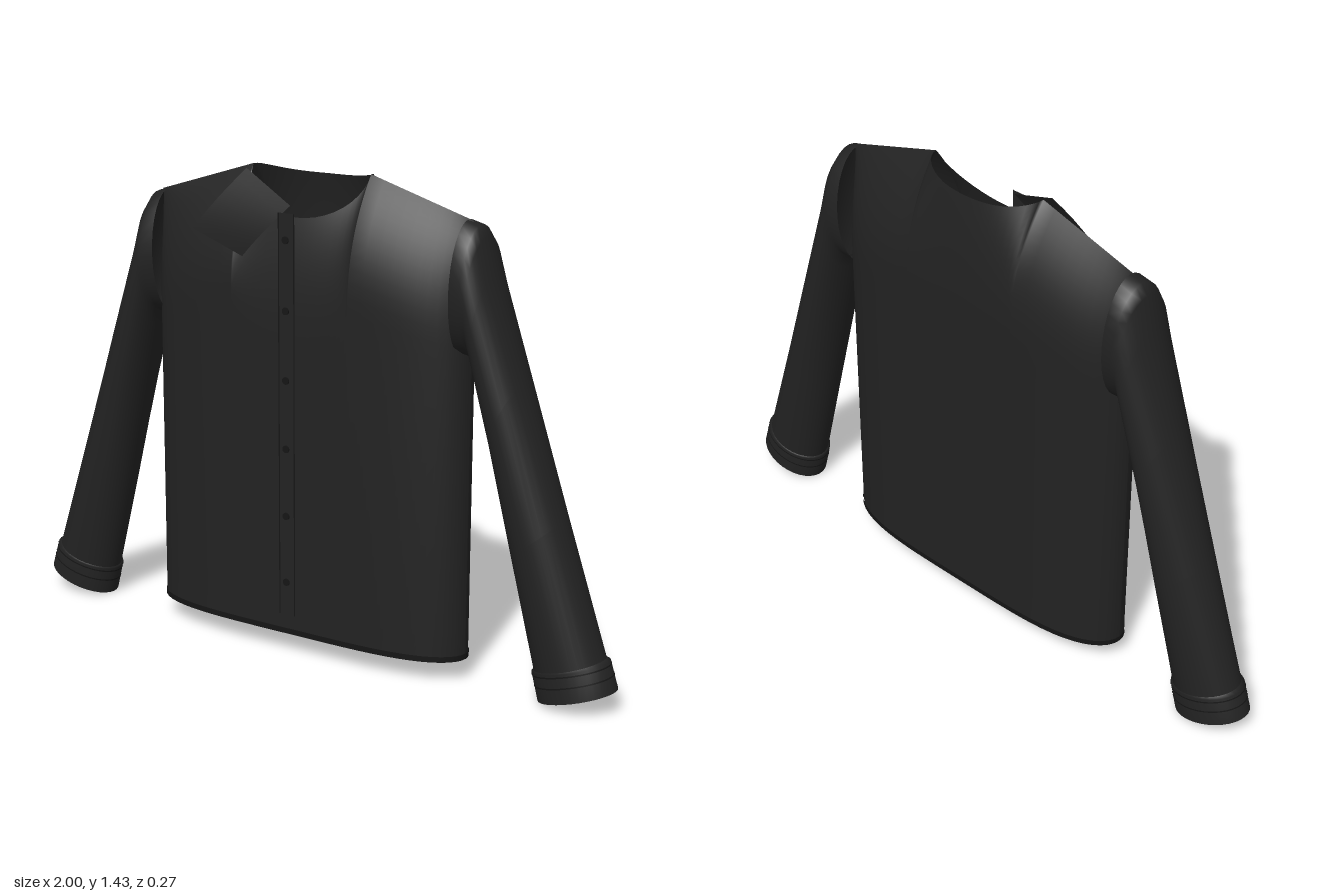
import * as THREE from 'three';

const fabric = new THREE.MeshStandardMaterial({ name: 'black fabric', color: 0x222222, side: THREE.DoubleSide });
const thread = new THREE.MeshStandardMaterial({ name: 'dark thread', color: 0x151515, side: THREE.DoubleSide });

const HALF = 0.53, NECK = 0.2, HEM = 0.07;

// Smooth surface from a rule point(i, j) -> [x, y, z]; wrap closes it around j
function surface(rows, cols, point, wrap = false) {
  const pos = [], index = [], n = wrap ? cols : cols + 1;
  for (let i = 0; i <= rows; i++) for (let j = 0; j < n; j++) pos.push(...point(i, j));
  for (let i = 0; i < rows; i++) for (let j = 0; j < cols; j++) {
    const a = i * n + j, b = i * n + (j + 1) % n;
    index.push(a, a + n, b, b, a + n, b + n);
  }
  const g = new THREE.BufferGeometry();
  g.setAttribute('position', new THREE.Float32BufferAttribute(pos, 3));
  g.setIndex(index);
  g.computeVertexNormals();
  return g;
}

function add(parent, name, geometry, material = fabric) {
  const mesh = new THREE.Mesh(geometry, material);
  mesh.name = name;
  parent.add(mesh);
  return mesh;
}

// Top edge of a panel: neckline in the middle, sloping shoulder outside
function topY(x, side) {
  const a = Math.abs(x), k = Math.min(1, a / NECK);
  if (a >= NECK) return 1.43 - 0.1 * (a - NECK) / (HALF - NECK);
  return side > 0 ? 1.43 - 0.13 * Math.sqrt(1 - k * k) : 1.405 + 0.025 * k ** 3;
}

// Depth of a panel: thin at the shoulder ridge, full at the chest, closed at the sides
function panelZ(x, y, side) {
  const k = Math.min(1, Math.abs(x) / NECK);
  const top = (side > 0 ? 0.075 : 0.095) * Math.sqrt(1 - k * k);
  const full = side > 0 ? 0.12 : 0.128;
  const u = Math.min(1, Math.max(0, (topY(x, side) - y) / 0.35));
  const s = 1 - (1 - u) ** 2.2;
  const edge = Math.sqrt(Math.max(0, 1 - Math.abs(x / HALF) ** 4));
  return side * (top + (full - top) * s) * edge;
}

// Columns crowd towards the neck corners and the side seams
const COLS = 44;
function columnX(j) {
  const k = Math.abs(j - COLS / 2), sign = Math.sign(j - COLS / 2);
  const x = k <= 10 ? NECK * Math.sin(k / 10 * Math.PI / 2)
    : NECK + (HALF - NECK) * Math.sin((k - 10) / 12 * Math.PI / 2);
  return sign * x;
}

// Sleeve sections: distance along, outer x, outer y, inner x, inner y, half depth
const sections = [
  [0.51, 1.333, 0.50, 0.95, 0.10],
  [0.55, 1.322, 0.53, 0.955, 0.106],
  [0.57, 1.29, 0.545, 0.955, 0.106],
  [0.60, 1.19, 0.557, 0.91, 0.104],
  [0.70, 0.905, 0.61, 0.70, 0.098],
  [0.83, 0.53, 0.68, 0.40, 0.091],
  [0.968, 0.135, 0.757, 0.08, 0.083],
];
const cuffSections = [
  [0.960, 0.155, 0.755, 0.09, 0.081],
  [0.974, 0.15, 0.748, 0.085, 0.087],
  [1.0, 0.07, 0.77, 0.0, 0.087],
];
function loops(list) {
  return surface(list.length - 1, 32, (i, j) => {
    const [ox, oy, ix, iy, d] = list[i], a = j / 32 * Math.PI * 2;
    const c = (1 + Math.cos(a)) / 2;
    return [ix + (ox - ix) * c, iy + (oy - iy) * c, -0.006 - d * Math.sin(a)];
  }, true);
}
// Thin seam band around the cuff at a fraction t of its length
function cuffBand(t) {
  const [, a, b] = cuffSections;
  const at = (k) => a.map((v, n) => v + (b[n] - v) * k + [0.001, 0, -0.001, 0, 0.0015][n]);
  return loops([at(t), at(t + 0.05)]);
}

export function createModel() {
  const shirt = new THREE.Group();
  shirt.name = 'shirt';

  // Body panels and hem
  for (const side of [1, -1]) {
    const label = side > 0 ? 'front' : 'back';
    add(shirt, label + 'Panel', surface(30, COLS, (i, j) => {
      const x = side * columnX(j), top = topY(x, side);
      const y = top - (i / 30) ** 1.7 * (top - HEM);
      return [x, y, panelZ(x, y, side)];
    }));
    add(shirt, label + 'Hem', surface(1, COLS, (i, j) => {
      const x = side * columnX(j), y = 0.08 - i * 0.017;
      return [x * 1.004, y, panelZ(x, y, side) * 1.02];
    }), thread);
  }

  // Sleeves with cuffs; the right one swaps x and turns its faces round
  for (const sign of [1, -1]) {
    const sleeve = new THREE.Group();
    sleeve.name = sign > 0 ? 'leftSleeve' : 'rightSleeve';
    add(sleeve, 'arm', loops(sections));
    add(sleeve, 'cuff', loops(cuffSections));
    add(sleeve, 'cuffSeam', cuffBand(0.08), thread);
    add(sleeve, 'cuffSeam', cuffBand(0.45), thread);
    sleeve.scale.x = sign;
    shirt.add(sleeve);
  }

  // Flat placket with stitched edges
  const placket = add(shirt, 'placket', new THREE.PlaneGeometry(0.052, 1.195));
  placket.position.set(0, 0.722, 0.127);
  for (const x of [-0.026, 0.026]) {
    add(shirt, 'placketSeam', new THREE.PlaneGeometry(0.004, 1.195), thread).position.set(x, 0.722, 0.128);
  }

  // Buttons
  for (let i = 0; i < 6; i++) {
    const button = add(shirt, 'button', new THREE.CylinderGeometry(0.011, 0.011, 0.004, 16), thread);
    button.rotation.x = Math.PI / 2;
    button.position.set(0.003, 0.23 + i * 0.203, 0.137);
  }

  // Single collar flap on the right side of the neck
  const corners = [[-0.2, 1.42, 0.035], [-0.35, 1.24, 0.098], [-0.01, 1.335, 0.092], [-0.16, 1.18, 0.117]];
  add(shirt, 'collarFlap', surface(6, 6, (i, j) => {
    const u = i / 6, v = j / 6;
    return [0, 1, 2].map((n) =>
      (corners[0][n] * (1 - u) + corners[1][n] * u) * (1 - v) +
      (corners[2][n] * (1 - u) + corners[3][n] * u) * v +
      (n === 2 ? 0.05 * u * (1 - u) : 0));
  }));

  return shirt;
}
